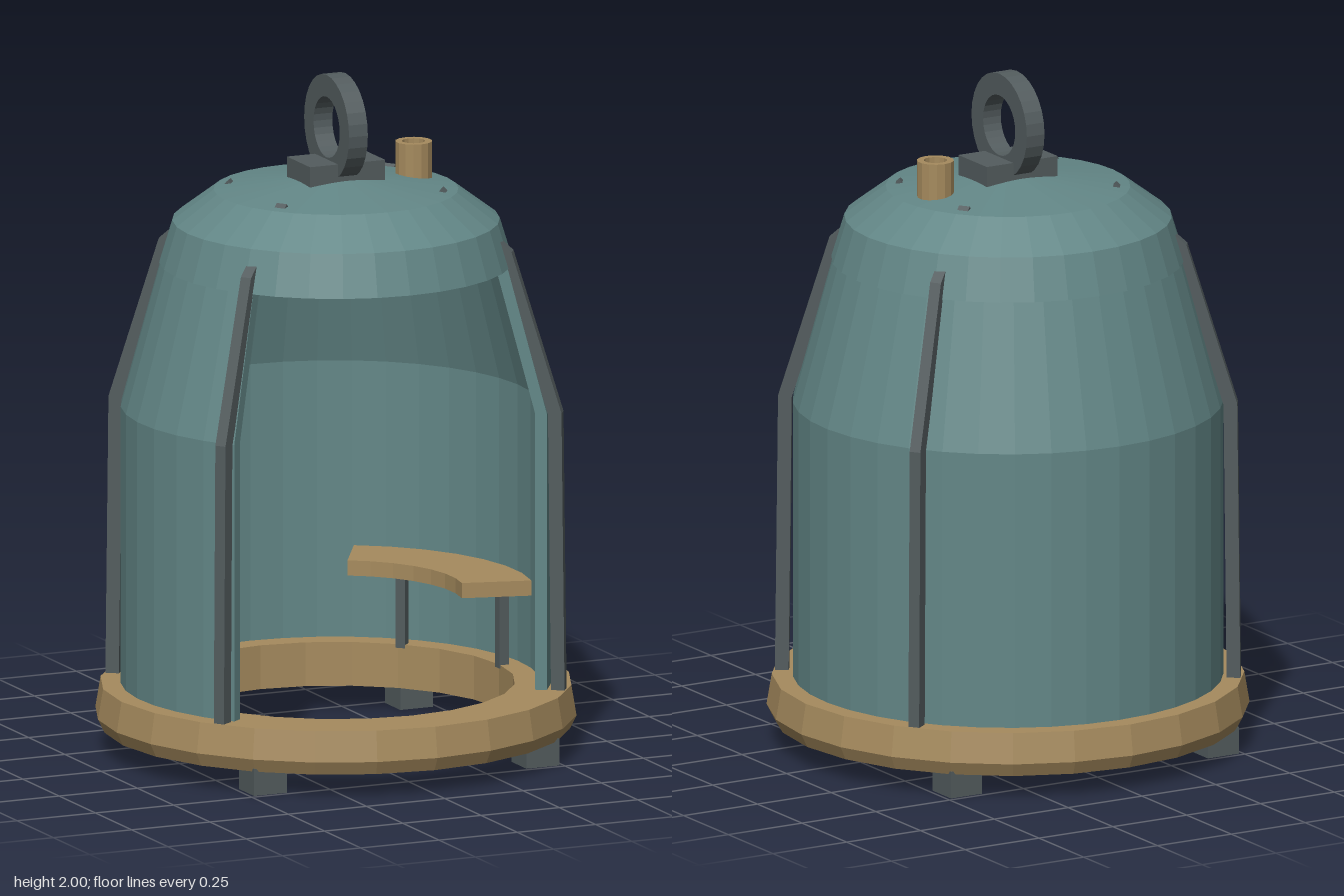
import * as THREE from 'three';
import { mergeGeometries } from 'three/addons/utils/BufferGeometryUtils.js';

const rad = THREE.MathUtils.degToRad;

// Give every face its own flat normal
function flat(geometry) {
  const g = geometry.index ? geometry.toNonIndexed() : geometry;
  g.computeVertexNormals();
  return g;
}

// Sweep a closed (radius, height) profile, listed counter-clockwise, around y.
// Angles are in degrees from +z towards +x; partial sweeps get end faces.
function sweep(profile, segments, start = 0, length = 360) {
  const pts = profile.map(([r, y]) => new THREE.Vector2(r, y));
  const body = new THREE.LatheGeometry([...pts, pts[0].clone()], segments, rad(start), rad(length));
  const parts = [flat(body)];
  if (length < 360) {
    const first = new THREE.ShapeGeometry(new THREE.Shape(pts));
    const last = first.clone();
    last.setIndex(Array.from(first.index.array).reverse());
    first.rotateY(rad(start - 90));
    last.rotateY(rad(start + length - 90));
    parts.push(flat(first), flat(last));
  }
  return mergeGeometries(parts);
}

const rect = (r0, r1, y0, y1) => [[r0, y0], [r1, y0], [r1, y1], [r0, y1]];

export function createModel() {
  const group = new THREE.Group();
  const teal = new THREE.MeshStandardMaterial({ color: 0x638787 });
  teal.name = 'teal hull paint';
  const brass = new THREE.MeshStandardMaterial({ color: 0xa68b5e });
  brass.name = 'brass';
  const iron = new THREE.MeshStandardMaterial({ color: 0x535c5e });
  iron.name = 'dark iron';

  function add(name, geometry, material, x = 0, y = 0, z = 0) {
    const mesh = new THREE.Mesh(geometry, material);
    mesh.name = name;
    mesh.position.set(x, y, z);
    group.add(mesh);
    return mesh;
  }

  // Heavy base ring
  add('baseRing', sweep([[0.52, 0.07], [0.68, 0.07], [0.70, 0.11], [0.685, 0.2], [0.52, 0.2]], 24), brass);

  // Square feet
  for (const x of [-0.435, 0.435]) {
    for (const z of [-0.435, 0.435]) {
      add('foot', new THREE.BoxGeometry(0.105, 0.08, 0.105), iron, x, 0.04, z);
    }
  }

  // Hull wall, open at the front
  add('hullWall', sweep([
    [0.59, 0.19], [0.625, 0.19], [0.625, 1.02], [0.505, 1.46], [0.47, 1.46], [0.59, 1.02],
  ], 26, 53, 254), teal);

  // Domed cap, hollow underneath
  add('cap', sweep([
    [0.49, 1.445], [0.513, 1.445], [0.475, 1.57], [0.355, 1.66], [0, 1.71],
    [0, 1.69], [0.345, 1.64], [0.455, 1.56],
  ], 32), teal);

  // Bent ribs that run up the wall and dive under the cap
  const path = [[0.656, 0.19], [0.647, 1.02], [0.502, 1.485], [0.3, 1.66]]
    .map(([r, y]) => new THREE.Vector2(r, y));
  const side = (s) => path.map((p, i) => {
    const a = path[Math.max(i - 1, 0)], b = path[Math.min(i + 1, path.length - 1)];
    const t = b.clone().sub(a).normalize();
    return new THREE.Vector2(p.x + t.y * s, p.y - t.x * s);
  });
  const ribShape = new THREE.Shape([...side(0.02), ...side(-0.02).reverse()]);
  const ribGeometry = new THREE.ExtrudeGeometry(ribShape, { depth: 0.034, bevelEnabled: false });
  ribGeometry.translate(0, 0, -0.017);
  for (const angle of [55, 125, 235, 305]) {
    add('rib', ribGeometry, iron).rotation.y = rad(angle - 90);
  }

  // Curved benches with two legs each
  for (const s of [1, -1]) {
    add('bench', sweep(rect(0.37, 0.575, 0.43, 0.475), 7, s > 0 ? 75 : -150, 75), brass);
    for (const angle of [90, 134]) {
      const a = rad(s * angle);
      const leg = add('benchLeg', new THREE.BoxGeometry(0.03, 0.25, 0.03), iron,
        0.53 * Math.sin(a), 0.315, 0.53 * Math.cos(a));
      leg.rotation.y = a;
    }
  }

  // Lifting block and eye
  add('liftingBlock', new THREE.BoxGeometry(0.24, 0.07, 0.16), iron, 0, 1.715, 0);
  add('liftingEye', sweep(rect(0.09, 0.155, -0.03, 0.03), 28), iron, 0, 1.845, 0).rotation.z = Math.PI / 2;

  // Air inlet pipe
  add('airPipe', sweep(rect(0.034, 0.054, 1.65, 1.775), 14), brass, 0.255, 0, -0.015);

  return group;
}
